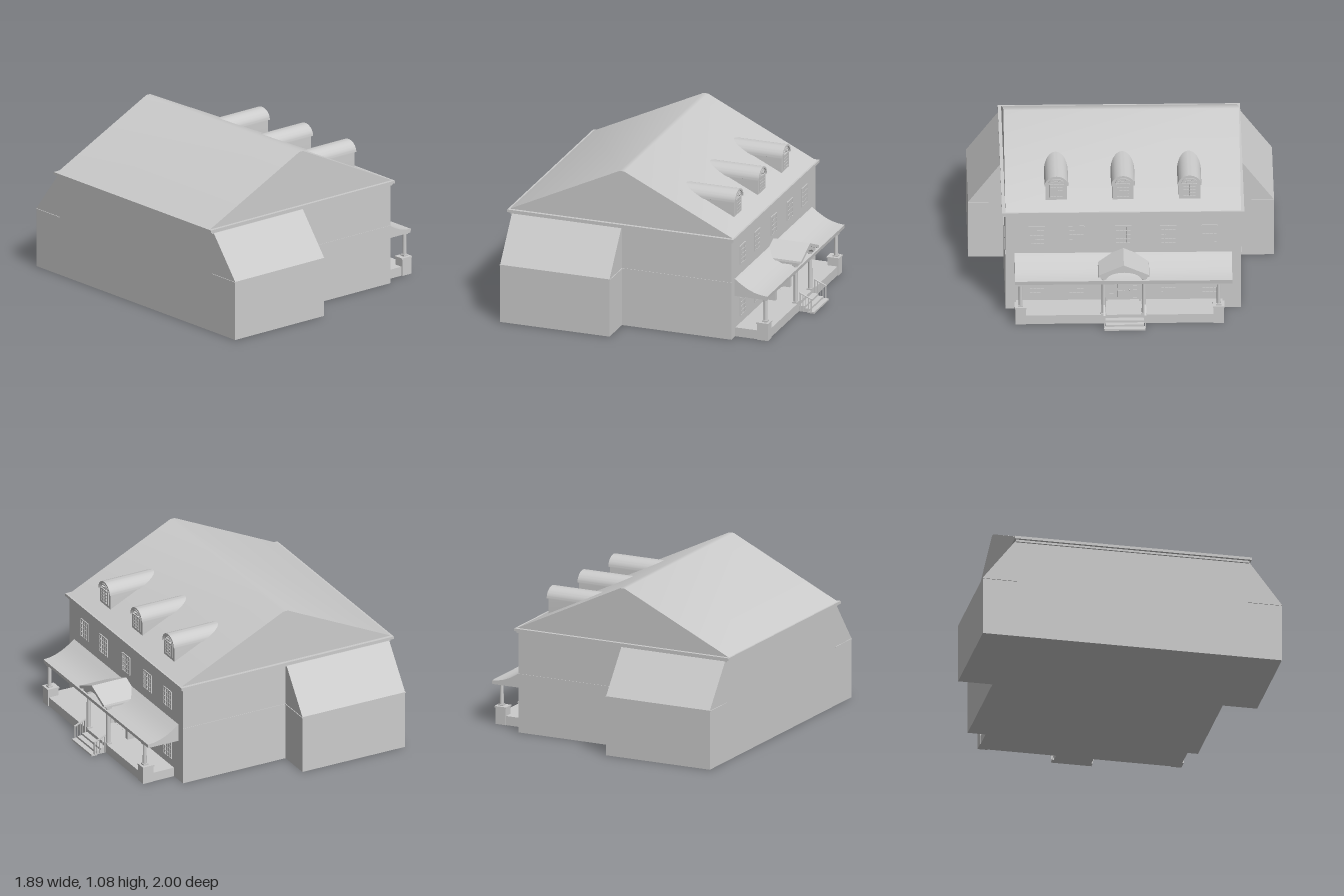
import * as THREE from 'three';
import { toCreasedNormals } from 'three/addons/utils/BufferGeometryUtils.js';

const material = new THREE.MeshStandardMaterial({ color: 0xcccccc, side: THREE.DoubleSide });

function add(parent, name, geometry) {
  const mesh = new THREE.Mesh(geometry, material);
  mesh.name = name;
  parent.add(mesh);
  return mesh;
}

// Box given by its limits on each axis
function box(parent, name, x0, x1, y0, y1, z0, z1) {
  const mesh = add(parent, name, new THREE.BoxGeometry(x1 - x0, y1 - y0, z1 - z0));
  mesh.position.set((x0 + x1) / 2, (y0 + y1) / 2, (z0 + z1) / 2);
  return mesh;
}

const polygon = (points) => new THREE.Shape(points.map(([x, y]) => new THREE.Vector2(x, y)));

function extrude(shape, depth) {
  const geometry = new THREE.ExtrudeGeometry(shape, { depth, bevelEnabled: false, curveSegments: 16 });
  return toCreasedNormals(geometry, 0.5);
}

// Profile in x, y swept along z
function sweepZ(parent, name, points, z0, z1) {
  return add(parent, name, extrude(polygon(points), z1 - z0).translate(0, 0, z0));
}

// Profile in -z, y swept along x
function sweepX(parent, name, shape, x0, x1) {
  return add(parent, name, extrude(shape, x1 - x0).rotateY(Math.PI / 2).translate(x0, 0, 0));
}

// Upright outline with an elliptical top
function archOutline(half, bottom, spring, rise, Type = THREE.Shape) {
  const s = new Type();
  s.moveTo(-half, bottom);
  s.lineTo(half, bottom);
  s.lineTo(half, spring);
  s.absellipse(0, spring, half, rise, 0, Math.PI, false);
  s.closePath();
  return s;
}

function archRing(half, bottom, spring, rise, width) {
  const s = archOutline(half, bottom, spring, rise);
  s.holes.push(archOutline(half - width, bottom + width * 0.2, spring, rise - width, THREE.Path));
  return s;
}

// Rectangular sash with glazing bars, facing +x
function sash(parent, name, x, z, y0, y1, half, cols, rows) {
  const g = new THREE.Group();
  g.name = name;
  parent.add(g);
  box(g, 'glass', x - 0.004, x + 0.002, y0, y1, z - half, z + half);
  for (let i = 0; i <= cols; i++) {
    const t = i % cols ? 0.002 : 0.004;
    const c = z - half + (2 * half * i) / cols;
    box(g, 'uprightBar', x, x + 0.007, y0 - 0.002, y1 + 0.002, c - t, c + t);
  }
  for (let i = 0; i <= rows; i++) {
    const t = i % rows ? 0.002 : 0.004;
    const c = y0 + ((y1 - y0) * i) / rows;
    box(g, 'crossBar', x, x + 0.0065, c - t, c + t, z - half, z + half);
  }
}

// Half-round light with radiating bars
function fanlight(parent, x, z, y, half, rise) {
  const g = new THREE.Group();
  g.name = 'fanlight';
  g.position.z = z;
  parent.add(g);
  sweepX(g, 'fanFrame', archRing(half, y, y + 0.003, rise, 0.007), x, x + 0.008);
  sweepX(g, 'fanHub', archRing(half * 0.45, y, y + 0.003, rise * 0.45, 0.004), x, x + 0.006);
  for (let i = 1; i < 6; i++) {
    const a = (Math.PI * i) / 6;
    const dz = half * Math.cos(a), dy = rise * Math.sin(a);
    const bar = add(g, 'fanBar', new THREE.BoxGeometry(0.006, Math.hypot(dz, dy) * 0.55, 0.003));
    bar.position.set(x + 0.003, y + 0.003 + dy * 0.7, dz * 0.7);
    bar.rotation.x = Math.atan2(dz, dy);
  }
}

function dormer(parent, z) {
  const g = new THREE.Group();
  g.name = 'dormer';
  g.position.z = z;
  parent.add(g);
  sweepX(g, 'dormerBody', archOutline(0.07, 0.745, 0.85, 0.065), 0.2, 0.528);
  const roof = new THREE.Shape();
  roof.moveTo(0.078, 0.85);
  roof.absellipse(0, 0.855, 0.078, 0.07, 0, Math.PI, false);
  roof.lineTo(-0.066, 0.85);
  roof.absellipse(0, 0.855, 0.066, 0.058, Math.PI, 0, true);
  roof.closePath();
  sweepX(g, 'dormerRoof', roof, 0.15, 0.537);
  sash(g, 'dormerWindow', 0.528, 0, 0.772, 0.862, 0.043, 4, 4);
  fanlight(g, 0.528, 0, 0.866, 0.052, 0.036);
}

// Square-based round column
function column(parent, x, z, y0, y1, r) {
  const g = new THREE.Group();
  g.name = 'column';
  parent.add(g);
  const shaft = add(g, 'shaft', new THREE.CylinderGeometry(r * 0.85, r, y1 - y0, 16));
  shaft.position.set(x, (y0 + y1) / 2, z);
  const w = r * 1.25;
  box(g, 'columnBase', x - w, x + w, y0, y0 + 0.012, z - w, z + w);
  box(g, 'capital', x - w, x + w, y1 - 0.014, y1, z - w, z + w);
}

function entrance(house) {
  const g = new THREE.Group();
  g.name = 'entrance';
  house.add(g);
  // Door surround, door and side lights
  sweepX(g, 'doorSurround', archRing(0.115, 0.06, 0.235, 0.06, 0.012), 0.61, 0.635);
  box(g, 'door', 0.61, 0.62, 0.065, 0.228, -0.045, 0.045);
  for (const z of [-0.021, 0.021]) {
    for (const [y0, y1] of [[0.085, 0.135], [0.15, 0.215]]) {
      box(g, 'doorPanel', 0.62, 0.624, y0, y1, z - 0.015, z + 0.015);
    }
  }
  const knob = add(g, 'doorKnob', new THREE.SphereGeometry(0.005, 10, 8));
  knob.position.set(0.626, 0.14, -0.04);
  box(g, 'transom', 0.61, 0.63, 0.228, 0.238, -0.105, 0.105);
  fanlight(g, 0.612, 0, 0.238, 0.085, 0.045);
  for (const s of [-1, 1]) {
    sash(g, 'sideLight', 0.612, s * 0.077, 0.075, 0.225, 0.016, 1, 5);
    box(g, 'doorPilaster', 0.61, 0.68, 0.06, 0.27, s * 0.132 - 0.014, s * 0.132 + 0.014);
    // Portico supports
    column(g, 0.817, s * 0.132, 0.06, 0.335, 0.015);
    box(g, 'porticoBeam', 0.61, 0.845, 0.333, 0.355, s * 0.132 - 0.022, s * 0.132 + 0.022);
  }
  // Gabled portico roof with an arched front
  sweepX(g, 'porticoRoof', polygon([[-0.168, 0.352], [-0.165, 0.365], [0, 0.437], [0.165, 0.365],
    [0.168, 0.352], [0.145, 0.352], [0, 0.415], [-0.145, 0.352]]), 0.61, 0.867);
  const front = new THREE.Shape();
  front.moveTo(0.15, 0.335);
  front.lineTo(0.15, 0.36);
  front.lineTo(0, 0.425);
  front.lineTo(-0.15, 0.36);
  front.lineTo(-0.15, 0.335);
  front.lineTo(-0.112, 0.335);
  front.absellipse(0, 0.325, 0.112, 0.05, Math.PI - 0.2, 0.2, true);
  front.lineTo(0.112, 0.335);
  front.closePath();
  sweepX(g, 'pediment', front, 0.8, 0.848);
  // Steps and handrails
  box(g, 'upperStep', 0.83, 0.875, 0, 0.04, -0.13, 0.12);
  box(g, 'middleStep', 0.87, 0.91, 0, 0.026, -0.13, 0.12);
  box(g, 'lowerStep', 0.9, 0.945, 0, 0.012, -0.14, 0.13);
  for (const z of [-0.14, 0.128]) {
    for (let i = 0; i < 5; i++) {
      const x = 0.847 + i * 0.019, t = i % 4 ? 0.002 : 0.004;
      box(g, 'railPost', x - t, x + t, 0.01, 0.132 - i * 0.009, z - t, z + t);
    }
    sweepZ(g, 'handrail', [[0.842, 0.13], [0.842, 0.137], [0.928, 0.1], [0.928, 0.093]], z - 0.006, z + 0.006);
  }
}

function porch(house) {
  const g = new THREE.Group();
  g.name = 'porch';
  house.add(g);
  box(g, 'porchFloor', 0.6, 0.835, 0, 0.062, -0.65, 0.7);
  // Sweeping concave roof
  sweepZ(g, 'porchRoof', [[0.6, 0.285], [0.835, 0.285], [0.838, 0.31], [0.79, 0.315], [0.745, 0.326],
    [0.7, 0.345], [0.655, 0.372], [0.61, 0.405], [0.6, 0.405]], -0.71, 0.71);
  for (const z of [0.675, -0.62]) {
    box(g, 'pedestal', 0.765, 0.842, 0, 0.112, z - 0.034, z + 0.034);
    box(g, 'pedestalCap', 0.76, 0.846, 0.112, 0.122, z - 0.038, z + 0.038);
    column(g, 0.812, z, 0.12, 0.287, 0.014);
  }
}

export function createModel() {
  const house = new THREE.Group();
  house.name = 'house';

  // Main block, cornice and gabled roof
  box(house, 'walls', -0.92, 0.61, 0, 0.69, -0.77, 0.77);
  box(house, 'corniceLower', -0.932, 0.62, 0.676, 0.69, -0.78, 0.78);
  box(house, 'corniceUpper', -0.95, 0.632, 0.69, 0.708, -0.792, 0.792);
  sweepZ(house, 'mainRoof', [[-0.945, 0.705], [-0.172, 1.075], [-0.14, 1.075], [0.626, 0.705]], -0.77, 0.77);

  // Side wings with lean-to roofs, and the thin belt at their eaves
  for (const s of [-1, 1]) {
    const outline = polygon([[0, 0], [-s, 0], [-s, 0.4], [-s * 0.785, 0.68], [0, 0.68]]);
    sweepX(house, 'sideWing', outline, -0.92, -0.155);
    box(house, 'wingEave', -0.925, -0.15, 0.393, 0.399, s * 0.885 - 0.115, s * 0.885 + 0.115);
    box(house, 'wallBelt', -0.155, 0.61, 0.395, 0.399, s * 0.77 - 0.003, s * 0.77 + 0.003);
  }

  // Windows and dormers
  for (const z of [0.565, 0.305, 0, -0.295, -0.565]) {
    sash(house, 'upperWindow', 0.61, z, 0.474, 0.598, 0.05, 4, 4);
    if (z) sash(house, 'lowerWindow', 0.61, z, 0.114, 0.236, 0.05, 4, 4);
  }
  for (const z of [0.435, 0, -0.435]) dormer(house, z);

  porch(house);
  entrance(house);
  return house;
}
